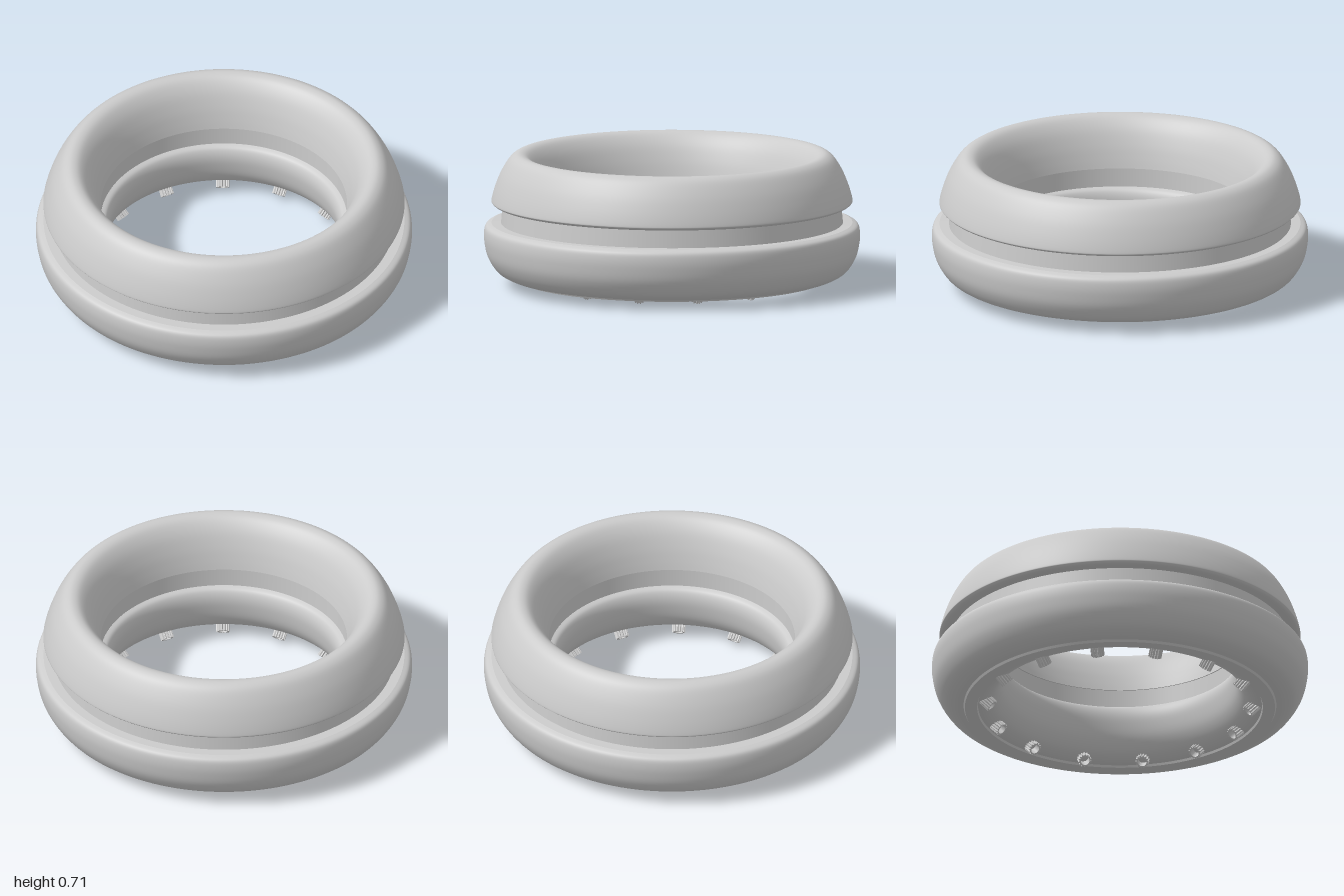
import * as THREE from 'three';

const material = new THREE.MeshStandardMaterial({ color: 0xcccccc, side: THREE.DoubleSide });
const SEGMENTS = 128;

// Revolves several [radius, height] runs; edges stay sharp where one run meets the next
function turned(name, runs) {
  const group = new THREE.Group();
  group.name = name;
  runs.forEach((run, i) => {
    let pts = run.map(([r, y]) => new THREE.Vector2(r, y));
    if (pts.length > 2) pts = new THREE.SplineCurve(pts).getPoints(pts.length * 4);
    const mesh = new THREE.Mesh(new THREE.LatheGeometry(pts, SEGMENTS), material);
    mesh.name = `${name}Surface${i + 1}`;
    group.add(mesh);
  });
  return group;
}

// Short hollow cylinder with a toothed outside
function nozzleGeometry(outer, hole, length, teeth) {
  const shape = new THREE.Shape();
  for (let i = 0; i < teeth * 4; i++) {
    const a = (i / (teeth * 4)) * Math.PI * 2;
    const r = i % 4 < 2 ? outer : outer * 0.82;
    shape[i ? 'lineTo' : 'moveTo'](r * Math.cos(a), r * Math.sin(a));
  }
  shape.closePath();
  const bore = new THREE.Path();
  bore.absarc(0, 0, hole, 0, Math.PI * 2, true);
  shape.holes.push(bore);
  return new THREE.ExtrudeGeometry(shape, { depth: length, bevelEnabled: false, curveSegments: 16 });
}

export function createModel() {
  const model = new THREE.Group();
  model.name = 'ring';

  // Fat rounded lower ring
  model.add(turned('lowerRing', [
    [[0.84, 0.046], [0.88, 0.052], [0.935, 0.085], [0.98, 0.155], [0.998, 0.23], [1, 0.285], [0.99, 0.32], [0.96, 0.335]],
    [[0.96, 0.335], [0.655, 0.34]],
    [[0.655, 0.34], [0.628, 0.325], [0.612, 0.285], [0.612, 0.23], [0.63, 0.15], [0.67, 0.085], [0.72, 0.052], [0.76, 0.046]],
    [[0.76, 0.046], [0.84, 0.046]],
  ]));

  // Thin stepped rim under the lower ring
  model.add(turned('bottomRim', [
    [[0.825, 0.034], [0.832, 0.046]],
    [[0.755, 0.046], [0.76, 0.034]],
    [[0.76, 0.034], [0.825, 0.034]],
  ]));

  // Recessed band between the two rings
  model.add(turned('middleBand', [
    [[0.91, 0.33], [0.9, 0.44]],
    [[0.66, 0.44], [0.656, 0.33]],
  ]));

  // Domed upper ring with a lip overhanging the band
  model.add(turned('upperRing', [
    [[0.9, 0.432], [0.94, 0.436], [0.957, 0.446], [0.96, 0.46], [0.942, 0.525], [0.912, 0.6], [0.872, 0.667],
      [0.84, 0.697], [0.805, 0.706], [0.765, 0.69], [0.722, 0.637], [0.688, 0.56], [0.667, 0.49], [0.655, 0.44]],
    [[0.655, 0.44], [0.9, 0.432]],
  ]));

  // Toothed nozzles around the lower opening, aimed down and inward
  const nozzles = new THREE.Group();
  nozzles.name = 'nozzles';
  const COUNT = 14;
  const geometry = nozzleGeometry(0.036, 0.024, 0.07, 14);
  for (let i = 0; i < COUNT; i++) {
    const a = ((i - 0.25) / COUNT) * Math.PI * 2;
    const mount = new THREE.Group();
    mount.rotation.y = a;
    const nozzle = new THREE.Mesh(geometry, material);
    nozzle.name = `nozzle${i + 1}`;
    nozzle.position.set(0, 0.026, 0.68);
    nozzle.rotation.x = -Math.PI / 4;
    mount.add(nozzle);
    nozzles.add(mount);
  }
  model.add(nozzles);

  return model;
}
